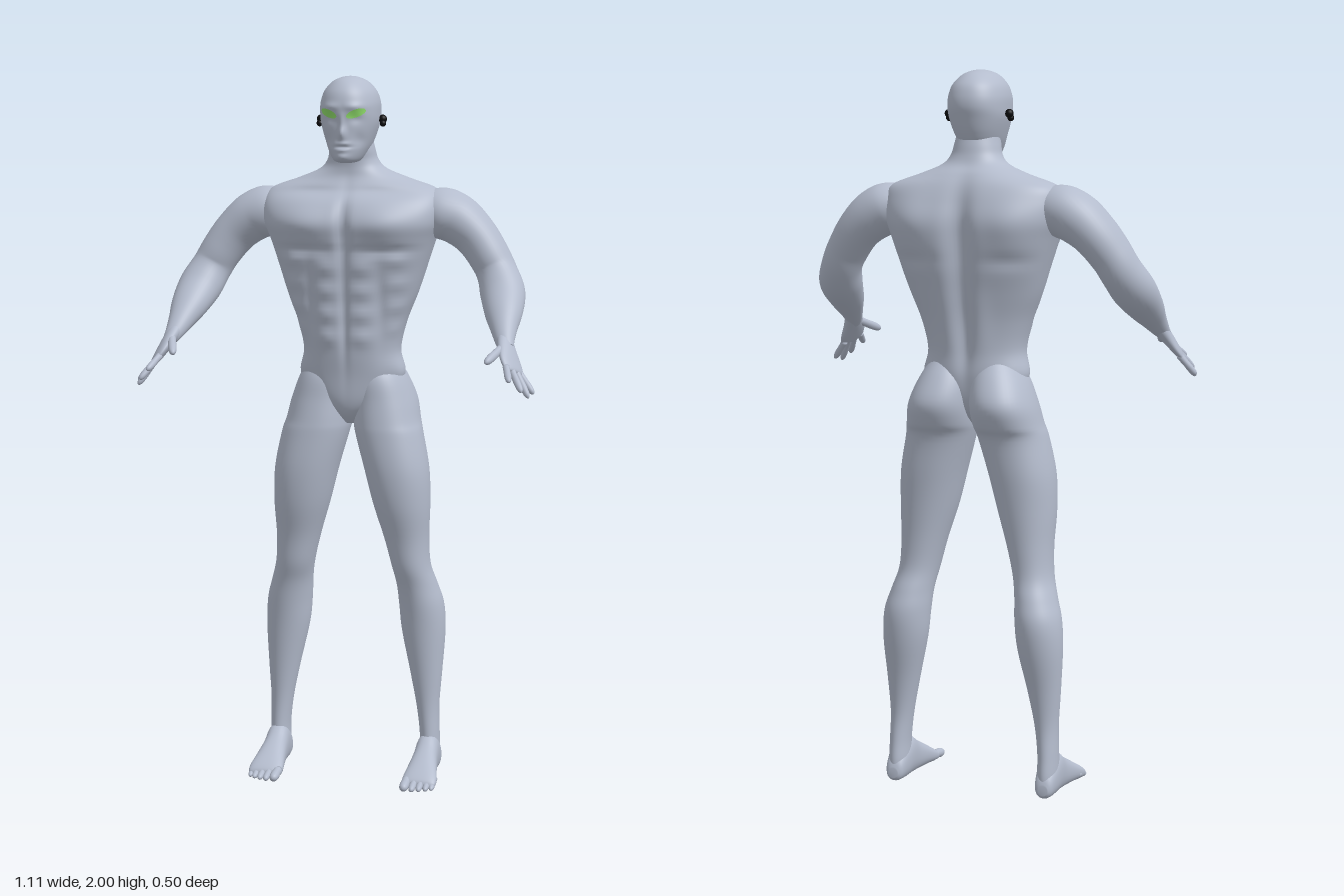
import * as THREE from 'three';

const skinMat = new THREE.MeshStandardMaterial({ color: 0xb4bccd });
skinMat.name = 'greySkin';
const eyeMat = new THREE.MeshStandardMaterial({ color: 0x8fdc6a, side: THREE.DoubleSide });
eyeMat.name = 'greenEye';
const earMat = new THREE.MeshStandardMaterial({ color: 0x0b0b0d });
earMat.name = 'blackEar';

// Smoothly interpolate a list of section rows (uniform Catmull-Rom per value)
function smoothRows(rows, steps) {
  const out = [], last = rows.length - 1;
  for (let i = 0; i <= last * steps; i++) {
    const k = Math.min(Math.floor(i / steps), last - 1), t = i / steps - k;
    const [a, b, c, d] = [k - 1, k, k + 1, k + 2].map(j => rows[Math.min(Math.max(j, 0), last)]);
    out.push(b.map((v, q) => v + 0.5 * t * (c[q] - a[q]
      + t * (2 * a[q] - 5 * v + 4 * c[q] - d[q] + t * (3 * (v - c[q]) + d[q] - a[q])))));
  }
  return out;
}

// Closed surface through rings of points, capped at both ends, always facing outward
function skin(rings) {
  const n = rings[0].length, pts = rings.flat(), index = [];
  for (let r = 0; r < rings.length - 1; r++) for (let j = 0; j < n; j++) {
    const a = r * n + j, b = r * n + (j + 1) % n;
    index.push(a, a + n, b, b, a + n, b + n);
  }
  [0, rings.length - 1].forEach(r => {
    const pole = new THREE.Vector3();
    rings[r].forEach(p => pole.addScaledVector(p, 1 / n));
    pts.push(pole);
    for (let j = 0; j < n; j++) {
      const a = r * n + j, b = r * n + (j + 1) % n;
      index.push(pts.length - 1, ...(r ? [b, a] : [a, b]));
    }
  });
  let volume = 0;
  const cross = new THREE.Vector3();
  for (let i = 0; i < index.length; i += 3)
    volume += pts[index[i]].dot(cross.crossVectors(pts[index[i + 1]], pts[index[i + 2]]));
  if (volume < 0) index.reverse();
  const g = new THREE.BufferGeometry().setFromPoints(pts);
  g.setIndex(index);
  g.computeVertexNormals();
  return g;
}

// Rings from rows [height, x0, x1, front, back, squareness]; bump(x, y, front) pushes the surface out
function stack(rows, cols, steps, bump) {
  return smoothRows(rows, steps).map(([y, x0, x1, f, b, e]) => {
    const ring = [];
    for (let j = 0; j < cols; j++) {
      const t = j / cols * Math.PI * 2, c = Math.cos(t), s = Math.sin(t);
      const r = (Math.abs(c) ** e + Math.abs(s) ** e) ** (-1 / e);
      const x = (x0 + x1) / 2 + (x1 - x0) / 2 * c * r;
      let z = (f + b) / 2 + (f - b) / 2 * s * r;
      if (bump) z += bump(x, y, s > 0) * Math.sign(s) * Math.min(1, Math.abs(s) * 2);
      ring.push(new THREE.Vector3(x, y, z));
    }
    return ring;
  });
}

// Rings along a path of rows [x, y, z, radiusA, radiusB]; ref sets the roll
function limb(rows, cols, steps, ref = new THREE.Vector3(1, 0, 0)) {
  const list = smoothRows(rows, steps), at = i => new THREE.Vector3(...list[i].slice(0, 3));
  return list.map((row, i) => {
    const T = at(Math.min(i + 1, list.length - 1)).sub(at(Math.max(i - 1, 0))).normalize();
    const S = ref.clone().cross(T).normalize(), U = T.clone().cross(S);
    return Array.from({ length: cols }, (_, j) => {
      const t = j / cols * Math.PI * 2;
      return at(i).addScaledVector(S, row[3] * Math.cos(t)).addScaledVector(U, row[4] * Math.sin(t));
    });
  });
}

// Rounded finger or toe from a to b
function digit(a, b, r) {
  const rows = [[0, 1], [0.35, 0.95], [0.6, 1], [0.85, 0.85], [0.96, 0.5], [1, 0.1]].map(([t, k]) =>
    [...a.map((v, q) => v + (b[q] - v) * t), r * k, r * k]);
  return limb(rows, 12, 3);
}

// Sum of soft bumps [x, y, spreadX, spreadY, amount], mirrored across x = 0
const bumps = (list, x, y) => list.reduce((sum, [bx, by, sx, sy, amt]) =>
  sum + amt * Math.exp(-(((Math.abs(x) - bx) / sx) ** 2) - ((y - by) / sy) ** 2), 0);

// Chest, belly and back muscles
const frontMuscles = [
  [0.11, 1.6, 0.07, 0.05, 0.014], [0, 1.58, 0.016, 0.09, -0.016], [0.11, 1.525, 0.08, 0.012, -0.01],
  [0, 1.35, 0.012, 0.14, -0.009], [0.1, 1.38, 0.016, 0.1, -0.006], [0.1, 1.685, 0.08, 0.012, -0.007],
  [0.13, 1.13, 0.03, 0.05, -0.008]
];
[1.475, 1.41, 1.345, 1.28].forEach(y => frontMuscles.push([0.05, y, 0.032, 0.022, 0.008], [0.15, y + 0.02, 0.03, 0.016, 0.006]));
const backMuscles = [
  [0, 1.55, 0.035, 0.14, -0.028], [0, 1.3, 0.022, 0.13, -0.014], [0.14, 1.6, 0.06, 0.07, 0.012],
  [0.14, 1.49, 0.07, 0.02, -0.006], [0.05, 1.32, 0.03, 0.1, 0.006]
];
const torsoBump = (x, y, front) => bumps(front ? frontMuscles : backMuscles, x, y);

// Nose, brows, eye sockets, cheeks, lips and chin
const faceFeatures = [
  [0, 1.845, 0.011, 0.018, 0.014], [0, 1.875, 0.008, 0.02, 0.006], [0.035, 1.917, 0.025, 0.01, 0.005],
  [0.036, 1.885, 0.018, 0.014, -0.006], [0.045, 1.825, 0.015, 0.02, -0.006],
  [0, 1.808, 0.025, 0.004, -0.005], [0, 1.817, 0.018, 0.005, 0.004], [0, 1.799, 0.016, 0.005, 0.004],
  [0, 1.78, 0.02, 0.009, 0.005]
];
const headBump = (x, y, front) => front ? bumps(faceFeatures, x, y) : 0;

export function createModel() {
  const model = new THREE.Group();
  const add = (name, geometry, mat = skinMat) => {
    const m = new THREE.Mesh(geometry, mat);
    m.name = name;
    model.add(m);
    return m;
  };
  const addPair = (name, rings) => {
    add('left' + name, skin(rings));
    add('right' + name, skin(rings.map(r => r.map(p => new THREE.Vector3(-p.x, p.y, p.z)))));
  };

  // Torso and neck: [height, half width, front, back, squareness]
  const torso = [
    [1.03, 0.02, -0.05, -0.11, 2], [1.06, 0.055, -0.02, -0.15, 2], [1.1, 0.11, -0.005, -0.175, 2.1],
    [1.17, 0.15, 0.002, -0.19, 2.2], [1.24, 0.138, 0.012, -0.19, 2.3], [1.32, 0.155, 0.018, -0.198, 2.4],
    [1.4, 0.185, 0.024, -0.215, 2.5], [1.48, 0.21, 0.033, -0.235, 2.7], [1.55, 0.232, 0.046, -0.246, 2.8],
    [1.6, 0.25, 0.052, -0.246, 2.8], [1.65, 0.255, 0.032, -0.232, 2.6], [1.69, 0.235, -0.005, -0.215, 2.4],
    [1.72, 0.155, -0.025, -0.195, 2.2], [1.745, 0.095, -0.03, -0.172, 2.1], [1.77, 0.072, -0.028, -0.16, 2],
    [1.8, 0.064, -0.02, -0.152, 2], [1.84, 0.055, -0.02, -0.14, 2]
  ].map(([y, w, f, b, e]) => [y, -w, w, f, b, e]);
  add('torso', skin(stack(torso, 144, 6, torsoBump)));

  // Head
  const head = [
    [1.764, 0.02, 0.015, -0.06, 2], [1.772, 0.037, 0.038, -0.09, 2], [1.8, 0.054, 0.044, -0.138, 2.2],
    [1.83, 0.066, 0.041, -0.158, 2.3], [1.87, 0.078, 0.042, -0.172, 2.3], [1.9, 0.081, 0.047, -0.18, 2.3],
    [1.93, 0.08, 0.046, -0.178, 2.2], [1.96, 0.07, 0.035, -0.165, 2.1], [1.985, 0.048, 0.01, -0.135, 2],
    [1.997, 0.022, -0.025, -0.098, 2], [2, 0.003, -0.058, -0.064, 2]
  ].map(([y, w, f, b, e]) => [y, -w, w, f, b, e]);
  add('head', skin(stack(head, 120, 8, headBump)));

  // Slanted eyes laid on the face, and small ear pieces
  for (const side of [-1, 1]) {
    const eye = new THREE.PlaneGeometry(1, 1, 16, 6), p = eye.attributes.position;
    for (let i = 0; i < p.count; i++) {
      const u = p.getX(i), x = 0.038 + 0.05 * u;
      const y = 1.899 + 0.016 * u + 0.022 * p.getY(i) * Math.sqrt(Math.max(0, 1 - 4 * u * u));
      const z = -0.066 + 0.113 * (1 - (x / 0.081) ** 2.3) ** (1 / 2.3) + headBump(x, y, true);
      p.setXYZ(i, side * x, y, z + 0.006);
    }
    if (side < 0) eye.index.array.reverse();
    eye.computeVertexNormals();
    add(side > 0 ? 'leftEye' : 'rightEye', eye, eyeMat);
    [[0.088, 1.882, -0.077, 0.012], [0.09, 1.87, -0.07, 0.009]].forEach(([x, y, z, r]) => {
      const ear = add(side > 0 ? 'leftEar' : 'rightEar', new THREE.SphereGeometry(r, 16, 12), earMat);
      ear.position.set(side * x, y, z);
    });
  }

  // Legs with buttocks: [height, inner, outer, front, back, squareness]
  addPair('Leg', stack([
    [1.23, 0.03, 0.11, -0.05, -0.16, 2], [1.17, 0.003, 0.15, -0.012, -0.207, 2.1],
    [1.1, 0.001, 0.178, 0, -0.238, 2.2], [1.04, 0.004, 0.192, 0.01, -0.22, 2.2],
    [1, 0.012, 0.203, 0.015, -0.195, 2.2], [0.9, 0.04, 0.222, 0.02, -0.185, 2.2],
    [0.8, 0.065, 0.226, 0.01, -0.175, 2.1], [0.7, 0.095, 0.222, -0.015, -0.168, 2.1],
    [0.62, 0.115, 0.226, -0.028, -0.17, 2.1], [0.56, 0.126, 0.243, -0.045, -0.19, 2],
    [0.5, 0.131, 0.26, -0.055, -0.205, 2], [0.42, 0.139, 0.265, -0.065, -0.198, 2],
    [0.3, 0.165, 0.258, -0.075, -0.172, 2], [0.2, 0.185, 0.251, -0.08, -0.16, 2],
    [0.12, 0.195, 0.252, -0.078, -0.165, 2], [0.06, 0.196, 0.253, -0.075, -0.172, 2],
    [0.015, 0.2, 0.25, -0.08, -0.17, 2]
  ], 48, 5));

  // Feet: sections stacked along z, then turned so that depth becomes height
  addPair('Foot', stack([
    [-0.176, 0.212, 0.24, 0.04, 0.012, 2], [-0.165, 0.2, 0.25, 0.065, 0.002, 2.3],
    [-0.13, 0.193, 0.256, 0.1, 0, 2.5], [-0.09, 0.19, 0.258, 0.118, 0, 2.4],
    [-0.05, 0.188, 0.26, 0.095, 0, 2.4], [0, 0.182, 0.268, 0.068, 0, 2.5],
    [0.04, 0.177, 0.275, 0.045, 0, 2.6], [0.06, 0.18, 0.272, 0.03, 0.003, 2.5],
    [0.066, 0.195, 0.26, 0.02, 0.01, 2]
  ], 32, 4).map(r => r.map(p => new THREE.Vector3(p.x, p.z, p.y))));
  [[0.19, 0.105, 0.0135], [0.213, 0.103, 0.01], [0.232, 0.097, 0.0095], [0.25, 0.088, 0.009], [0.265, 0.077, 0.0085]]
    .forEach(([x, tip, r]) => addPair('Toe', digit([x, 0.022, tip - 0.06], [x, r, tip], r)));

  // Arms from shoulder to wrist
  addPair('Arm', limb([
    [0.19, 1.632, -0.11, 0.06, 0.05], [0.245, 1.625, -0.11, 0.08, 0.07], [0.295, 1.605, -0.112, 0.08, 0.07],
    [0.345, 1.563, -0.108, 0.074, 0.062], [0.385, 1.51, -0.096, 0.067, 0.058], [0.412, 1.462, -0.083, 0.061, 0.057],
    [0.435, 1.41, -0.042, 0.056, 0.062], [0.448, 1.362, 0.02, 0.045, 0.052], [0.457, 1.325, 0.068, 0.033, 0.037],
    [0.465, 1.297, 0.102, 0.024, 0.027], [0.473, 1.278, 0.122, 0.018, 0.02]
  ], 36, 6));

  // Palm, four spread fingers and a thumb
  addPair('Palm', limb([
    [0.461, 1.308, 0.09, 0.022, 0.02], [0.475, 1.275, 0.125, 0.033, 0.018], [0.49, 1.244, 0.152, 0.042, 0.014],
    [0.502, 1.222, 0.168, 0.037, 0.01], [0.505, 1.217, 0.172, 0.02, 0.003]
  ], 28, 5, new THREE.Vector3(0.78, 0.59, 0.24)));
  [[0.483, 1.238, 0.188, 0.5, 1.205, 0.247], [0.494, 1.23, 0.172, 0.53, 1.175, 0.222],
    [0.504, 1.223, 0.157, 0.545, 1.156, 0.192], [0.511, 1.217, 0.141, 0.554, 1.163, 0.163]]
    .forEach(f => addPair('Finger', digit(f.slice(0, 3), f.slice(3), 0.0095)));
  addPair('Thumb', digit([0.464, 1.283, 0.135], [0.433, 1.25, 0.224], 0.012));

  return model;
}
